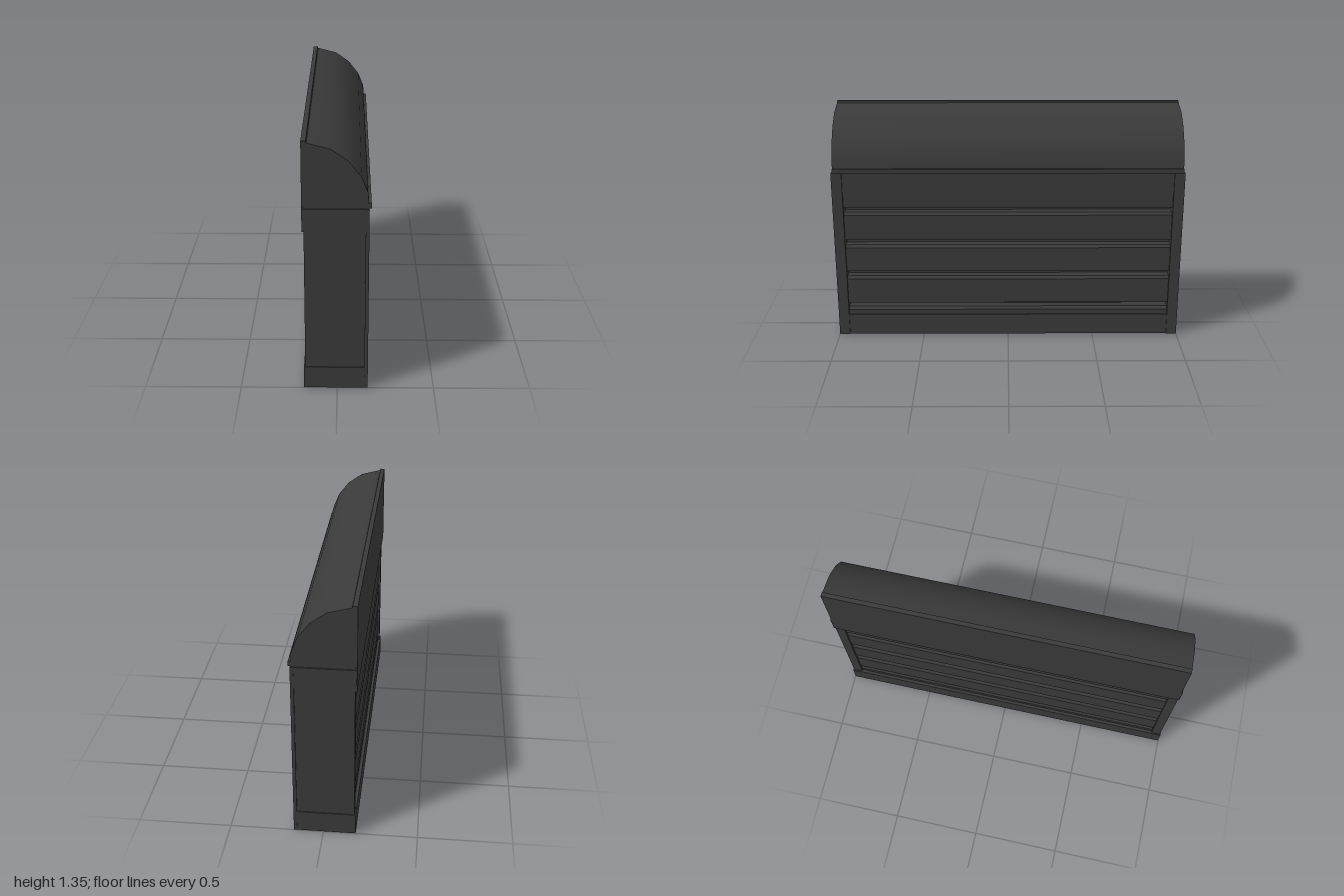
import * as THREE from 'three';
import { toCreasedNormals } from 'three/addons/utils/BufferGeometryUtils.js';

export function createModel() {
  const model = new THREE.Group();
  const material = new THREE.MeshStandardMaterial({ color: 0x3a3a3a });

  function add(name, geometry) {
    const mesh = new THREE.Mesh(geometry, material);
    mesh.name = name;
    model.add(mesh);
    return mesh;
  }

  // box given by its limits on each axis
  function box(name, x0, x1, y0, y1, z0, z1) {
    const mesh = add(name, new THREE.BoxGeometry(x1 - x0, y1 - y0, z1 - z0));
    mesh.position.set((x0 + x1) / 2, (y0 + y1) / 2, (z0 + z1) / 2);
  }

  // cross-section in x and y, run along z and centred
  function run(name, points, length, crease = 0.5) {
    const shape = new THREE.Shape(points.map(([x, y]) => new THREE.Vector2(x, y)));
    const geometry = new THREE.ExtrudeGeometry(shape, { depth: length, bevelEnabled: false });
    geometry.translate(0, 0, -length / 2);
    add(name, toCreasedNormals(geometry, crease));
  }

  // end panels, with slightly proud bands at the foot and the top
  for (const s of [-1, 1]) {
    const span = (a, b) => (s > 0 ? [a, b] : [-b, -a]);
    box('endPanel', -0.165, 0.155, 0.005, 1, ...span(0.94, 0.993));
    box('endFootBand', -0.172, 0.153, 0, 0.12, ...span(0.94, 0.998));
    box('endTopBand', -0.172, 0.153, 0.88, 1, ...span(0.94, 0.998));
    box('cornerTrim', 0.14, 0.158, 0, 1, ...span(0.94, 1));
  }

  // closed middle behind the slats, and the rails above and below them
  box('core', -0.09, 0.08, 0.02, 0.99, -0.94, 0.94);
  box('bottomRail', -0.172, 0.15, 0, 0.125, -0.94, 0.94);
  box('topRail', -0.165, 0.15, 0.88, 1, -0.94, 0.94);
  box('backPanel', -0.175, -0.165, 0.88, 1.01, -0.995, 0.995);

  // slats with a sloped top edge, on both faces
  const slats = [[0.125, 0.155], [0.2, 0.35], [0.4, 0.545], [0.595, 0.745], [0.79, 0.88]];
  for (const [bottom, top] of slats) {
    const rise = top < 0.8 ? 0.015 : 0;
    run('frontSlat', [
      [0.08, bottom], [0.143, bottom], [0.143, top], [0.128, top + rise], [0.08, top + rise],
    ], 1.88);
    run('backSlat', [
      [-0.09, bottom], [-0.09, top + rise], [-0.14, top + rise], [-0.155, top], [-0.155, bottom],
    ], 1.88);
  }

  // rounded hood with a flat back
  run('hood', [
    [-0.175, 1], [0.157, 1], [0.15, 1.085], [0.117, 1.165], [0.055, 1.245],
    [-0.03, 1.305], [-0.145, 1.335], [-0.175, 1.34],
  ], 1.98);

  // trims along the hood's upper and lower edges
  run('hoodTopTrim', [
    [-0.175, 1.33], [-0.145, 1.33], [-0.15, 1.345], [-0.175, 1.345],
  ], 1.98);
  box('hoodLowerTrim', 0.14, 0.168, 1.003, 1.028, -0.99, 0.99);

  return model;
}
